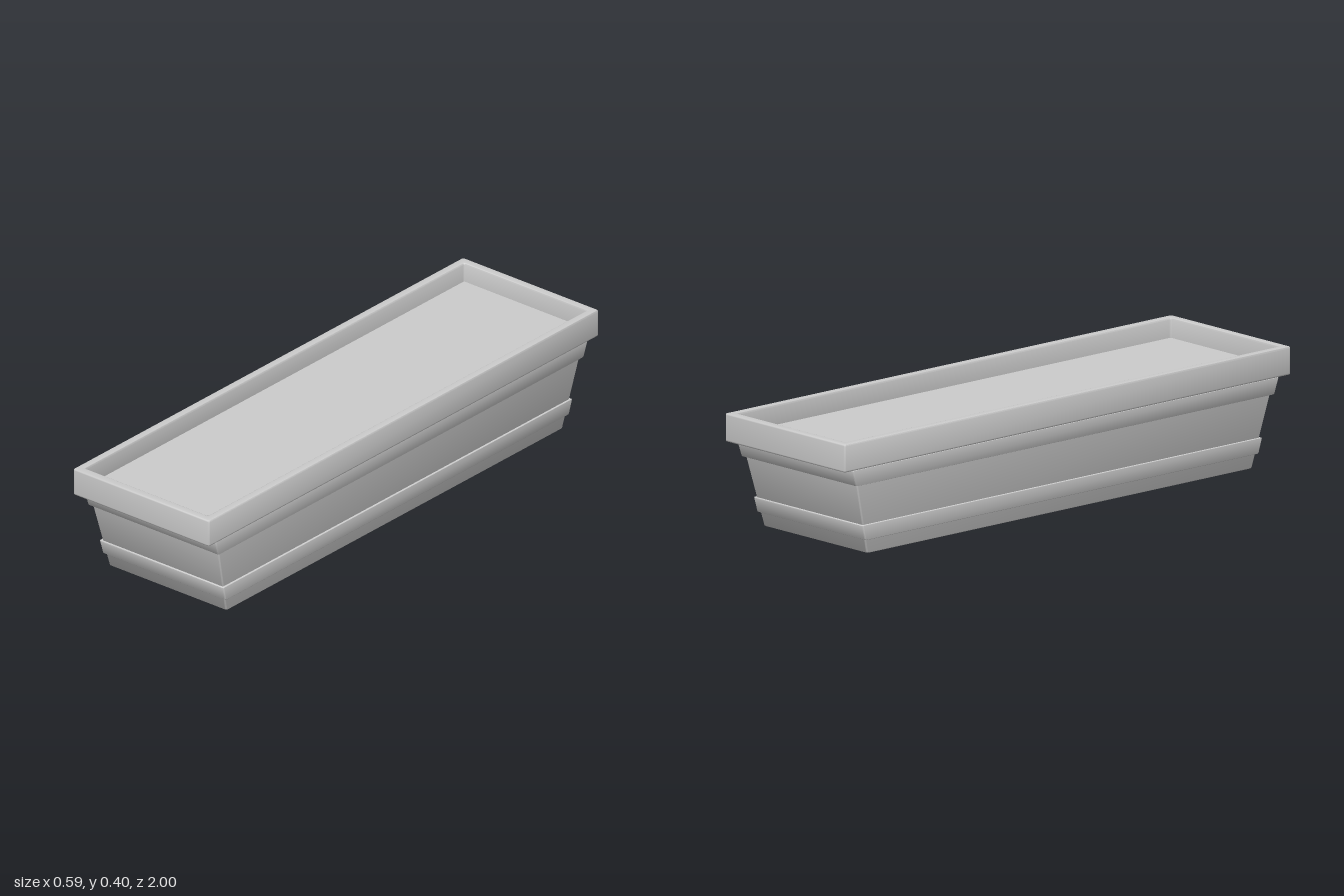
import * as THREE from 'three';
import { toCreasedNormals } from 'three/addons/utils/BufferGeometryUtils.js';

const CORNER_STEPS = 3;

// Round the inner points of a profile of (half width, half length, height) points
function roundProfile(points, r, closed) {
  const p = points.map((q) => new THREE.Vector3(...q));
  const n = p.length;
  const out = [];
  p.forEach((b, i) => {
    if (!closed && (i === 0 || i === n - 1)) return out.push(b);
    const toward = (c) => {
      const d = c.clone().sub(b);
      return b.clone().addScaledVector(d, Math.min(r / d.length(), 0.45));
    };
    const curve = new THREE.QuadraticBezierCurve3(toward(p[(i + n - 1) % n]), b, toward(p[(i + 1) % n]));
    out.push(...curve.getPoints(CORNER_STEPS));
  });
  if (closed) out.push(out[0].clone());
  return out;
}

// Sweep a profile round a rectangle with softly rounded corners
function rectangularSweep(points, radius, closed = false) {
  const profile = roundProfile(points, radius, closed);
  const count = 4 * (CORNER_STEPS + 1);
  const position = [];
  const index = [];
  for (const { x: hx, y: hz, z: y } of profile) {
    const c = Math.min(radius, hx, hz);
    for (let k = 0; k < 4; k++) {
      const sx = k === 0 || k === 3 ? 1 : -1;
      const sz = k < 2 ? 1 : -1;
      for (let j = 0; j <= CORNER_STEPS; j++) {
        const t = (k + j / CORNER_STEPS) * Math.PI / 2;
        position.push(sx * (hx - c) + c * Math.cos(t), y, sz * (hz - c) + c * Math.sin(t));
      }
    }
  }
  for (let i = 0; i < profile.length - 1; i++) {
    for (let j = 0; j < count; j++) {
      const a = i * count + j;
      const b = i * count + (j + 1) % count;
      index.push(a, a + count, b, b, a + count, b + count);
    }
  }
  const geometry = new THREE.BufferGeometry();
  geometry.setAttribute('position', new THREE.Float32BufferAttribute(position, 3));
  geometry.setIndex(index);
  return toCreasedNormals(geometry, 0.7);
}

// Solid tapered block from a bottom and a top [half width, half length, height]
function taperedBlock(bottom, top, radius) {
  return rectangularSweep([[0, 0, bottom[2]], bottom, top, [0, 0, top[2]]], radius);
}

export function createModel() {
  const group = new THREE.Group();
  const material = new THREE.MeshStandardMaterial({ color: 0xcccccc });
  const add = (name, geometry) => {
    const mesh = new THREE.Mesh(geometry, material);
    mesh.name = name;
    group.add(mesh);
    return mesh;
  };

  // Tapered trough and its two raised bands
  add('troughBody', taperedBlock([0.253, 0.863, 0], [0.279, 0.945, 0.315], 0.006));
  add('lowerBand', taperedBlock([0.266, 0.882, 0.049], [0.269, 0.896, 0.102], 0.005));
  add('upperBand', taperedBlock([0.282, 0.938, 0.245], [0.286, 0.955, 0.302], 0.005));

  // Upright rim, open in the middle
  add('rim', rectangularSweep([
    [0.265, 0.971, 0.304],
    [0.294, 1, 0.304],
    [0.294, 1, 0.4],
    [0.265, 0.971, 0.4],
  ], 0.006, true));

  // Flat fill inside the rim
  const soil = add('soil', new THREE.BoxGeometry(0.54, 0.027, 1.95));
  soil.position.y = 0.3185;

  return group;
}
